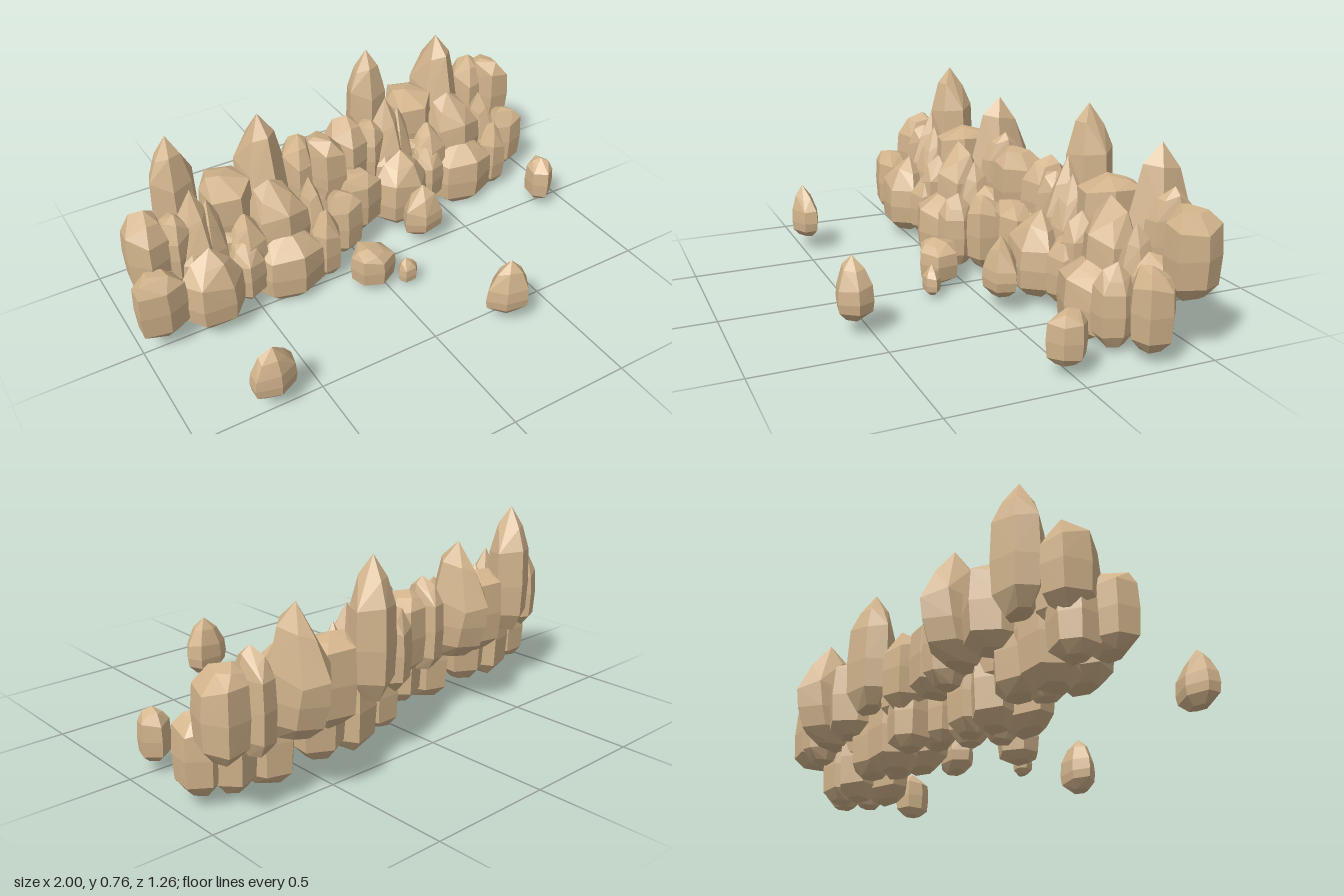
import * as THREE from 'three';
import { ConvexGeometry } from 'three/addons/geometries/ConvexGeometry.js';

const SIDES = 6;
const material = new THREE.MeshStandardMaterial({ color: 0xd2b48c, flatShading: true });

// small repeatable number source
function seeded(seed) {
  let s = seed;
  return () => ((s = (s * 16807) % 2147483647) / 2147483647);
}

// One faceted rock filling the box x0..x1, y0..y1, z0..z1.
// shoulder: height fraction where the sides end; ax, az: apex shift (-1..1);
// foot: forward shift of the base, for a rock that leans back
function rock(name, [x0, x1, y0, y1, z0, z1, shoulder, ax, az, foot = 0], seed) {
  const rnd = seeded(seed * 7919 + 13);
  const spread = Array.from({ length: SIDES }, () => 0.88 + 0.24 * rnd());
  const turn = rnd() * Math.PI;
  // height fraction, radius, share of the apex shift, height wobble
  const rings = [
    [0, 0.5, 0, 0.04], [0.14, 0.93, 0, 0.03], [shoulder * 0.6, 1, 0, 0],
    [shoulder, 0.94, 0.05, 0.14], [shoulder + (1 - shoulder) * 0.55, 0.58, 0.6, 0.14],
  ];
  const points = [];
  for (const [t, r, lean, wobble] of rings) {
    for (let i = 0; i < SIDES; i++) {
      const a = turn + ((i + 0.25 * spread[i]) / SIDES) * Math.PI * 2;
      points.push(new THREE.Vector3(
        Math.cos(a) * r * spread[i] + ax * lean,
        t + (rnd() - 0.5) * wobble,
        Math.sin(a) * r * spread[i] + az * lean + foot * (1 - t)));
    }
  }
  points.push(new THREE.Vector3(ax, 1, az));

  // fit the points to the wanted box
  const box = new THREE.Box3().setFromPoints(points);
  const size = box.getSize(new THREE.Vector3());
  const low = new THREE.Vector3(x0, y0, z0);
  const scale = new THREE.Vector3(x1 - x0, y1 - y0, z1 - z0).divide(size);
  points.forEach((p) => p.sub(box.min).multiply(scale).add(low));

  const mesh = new THREE.Mesh(new ConvexGeometry(points), material);
  mesh.name = name;
  return mesh;
}

// Each row: x0, x1, y0, y1, z0, z1, shoulder, apex x, apex z, foot shift
const peaks = [
  [-0.82, -0.62, 0.24, 0.77, -0.34, -0.15, 0.62, 0.0, 0.0],
  [-0.42, -0.23, 0.22, 0.70, -0.45, -0.15, 0.52, 0.1, 0.5, 0.7],
  [-0.25, -0.12, 0.20, 0.58, -0.36, -0.17, 0.75, 0.2, 0.0],
];
const upperBlocks = [
  [-0.97, -0.81, 0.2, 0.54, -0.25, -0.04, 0.75, 0.2, -0.1],
  [-0.62, -0.42, 0.2, 0.53, -0.35, -0.10, 0.84, -0.1, 0.0],
  [-0.14, 0.03, 0.22, 0.54, -0.36, -0.17, 0.78, -0.5, 0.0],
  [-0.86, -0.70, 0.2, 0.50, -0.22, -0.05, 0.75, 0.2, 0.1],
];
const midSpikes = [
  [-0.80, -0.61, 0.15, 0.58, -0.21, -0.03, 0.4, 0.1, -0.2],
  [-0.71, -0.56, 0.15, 0.52, -0.21, -0.04, 0.45, 0.0, 0.0],
  [-0.46, -0.23, 0.14, 0.51, -0.24, -0.02, 0.6, -0.2, -0.1],
  [-0.25, -0.13, 0.10, 0.46, -0.22, -0.06, 0.5, -0.2, 0.0],
  [-0.58, -0.43, 0.12, 0.42, -0.18, -0.01, 0.6, 0.0, 0.0],
];
const lowerRocks = [
  [-1.0, -0.80, 0.07, 0.35, -0.09, 0.06, 0.8, -0.3, 0.0],
  [-0.83, -0.56, 0.04, 0.38, -0.09, 0.09, 0.6, 0.1, -0.2],
  [-0.61, -0.45, 0.06, 0.33, -0.12, 0.03, 0.72, 0.0, 0.0],
  [-0.49, -0.20, 0.01, 0.31, -0.11, 0.07, 0.7, 0.1, -0.3],
  [-0.24, -0.11, 0.03, 0.34, -0.12, 0.03, 0.65, 0.2, 0.0],
  [-0.14, 0.02, 0.05, 0.35, -0.21, -0.04, 0.78, -0.1, 0.0],
];
const footRocks = [
  [-0.95, -0.78, 0.05, 0.34, -0.20, -0.04, 0.8, 0.0, 0.0],
  [-0.82, -0.62, 0.01, 0.36, -0.23, -0.02, 0.8, 0.0, 0.0],
  [-0.64, -0.44, 0.04, 0.36, -0.25, -0.07, 0.8, 0.0, 0.0],
  [-0.43, -0.22, 0.01, 0.36, -0.24, -0.05, 0.8, 0.0, 0.0],
  [-0.25, -0.08, 0.04, 0.36, -0.25, -0.08, 0.8, 0.0, 0.0],
];
const strayRocks = [
  [-0.77, -0.59, 0.07, 0.30, 0.42, 0.54, 0.5, 0.0, 0.1],
  [0.19, 0.38, 0.07, 0.31, 0.50, 0.63, 0.5, 0.0, 0.0],
  [0.19, 0.38, 0.06, 0.30, -0.09, 0.04, 0.5, 0.0, 0.0],
  [-0.13, 0.05, 0.02, 0.20, 0.01, 0.18, 0.78, -0.2, 0.1],
  [0.04, 0.13, 0.02, 0.14, 0.14, 0.205, 0.55, -0.2, 0.0],
  [0.83, 0.95, 0.05, 0.25, -0.06, 0.09, 0.72, 0.0, 0.0],
];

// One half of the ridge
function cluster(name) {
  const group = new THREE.Group();
  group.name = name;
  let seed = 1;
  const add = (label, rows) => rows.forEach((r) => group.add(rock(label, r, seed++)));
  add('peak', peaks);
  add('upperBlock', upperBlocks);
  add('midSpike', midSpikes);
  add('lowerRock', lowerRocks);
  add('footRock', footRocks);
  return group;
}

export function createModel() {
  const model = new THREE.Group();
  model.name = 'rockRidge';
  const rightHalf = cluster('rightCluster');
  const leftHalf = cluster('leftCluster');
  leftHalf.position.set(0.965, 0, -0.18);
  model.add(rightHalf, leftHalf);

  // loose stones lying in front
  strayRocks.forEach((r, i) => model.add(rock('looseStone', r, 60 + i)));
  return model;
}
